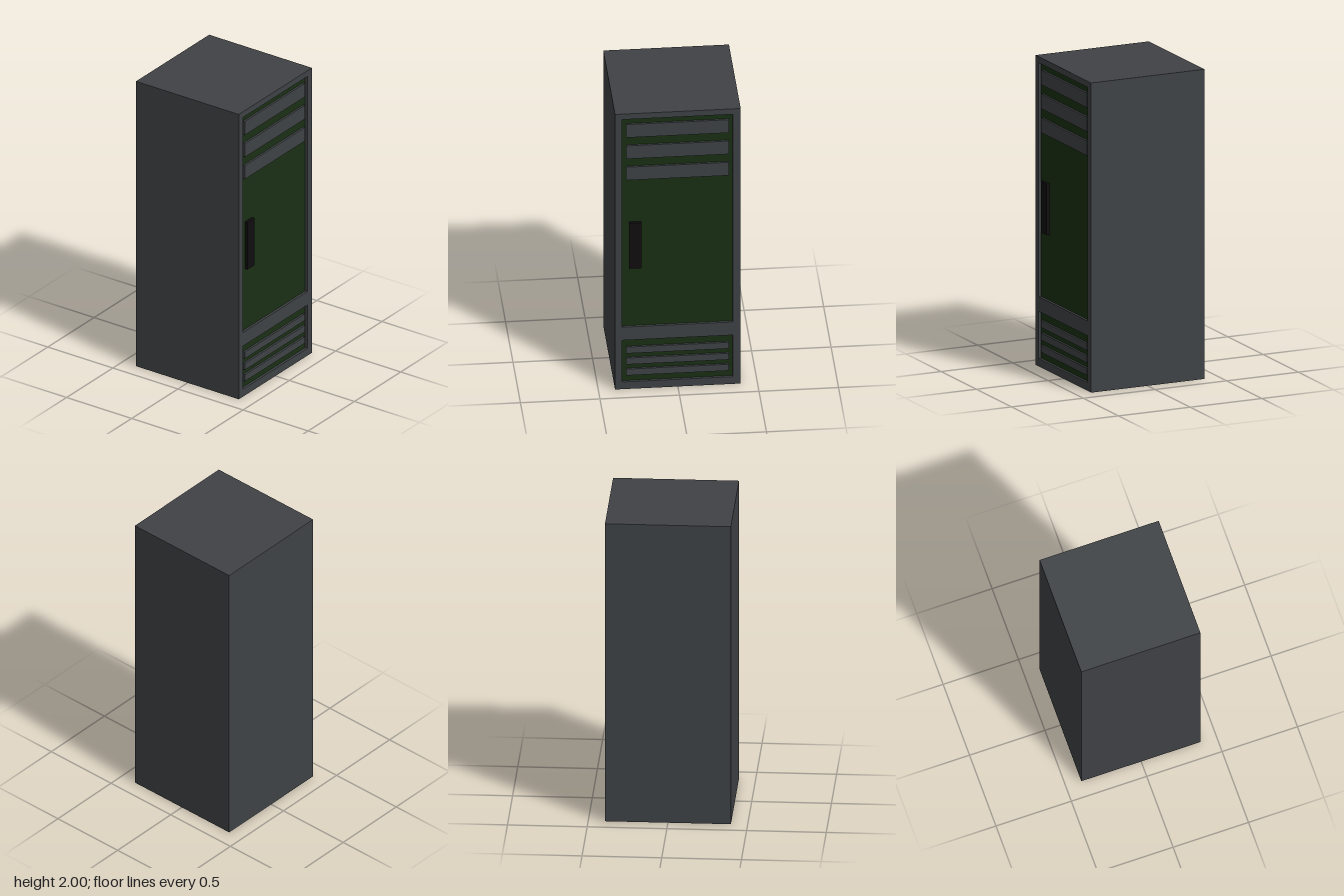
import * as THREE from 'three';

const BACK = -0.397, FRONT = 0.393, RECESS = 0.376, SLAT_FRONT = 0.39;
const HALF_W = 0.395, HEIGHT = 2;

// Recessed openings in the front frame and the slats set in each
const openings = [
  { name: 'door', y0: 0.45, y1: 1.96, slatH: 0.095, slats: [1.873, 1.718, 1.563] },
  { name: 'lowerVent', y0: 0.052, y1: 0.355, slatH: 0.046, slats: [0.279, 0.199, 0.119] },
];
const OPEN_X0 = -0.35, OPEN_X1 = 0.345;

export function createModel() {
  const group = new THREE.Group();
  group.name = 'locker';
  const grey = new THREE.MeshStandardMaterial({ color: 0x3f4245 });
  const green = new THREE.MeshStandardMaterial({ color: 0x1a3014 });
  const black = new THREE.MeshStandardMaterial({ color: 0x100d0f });

  // Adds a box given by its extents
  function box(name, material, x0, x1, y0, y1, z0, z1) {
    const mesh = new THREE.Mesh(new THREE.BoxGeometry(x1 - x0, y1 - y0, z1 - z0), material);
    mesh.position.set((x0 + x1) / 2, (y0 + y1) / 2, (z0 + z1) / 2);
    mesh.name = name;
    group.add(mesh);
  }

  function rectangle(path, x0, x1, y0, y1) {
    path.moveTo(x0, y0);
    path.lineTo(x1, y0);
    path.lineTo(x1, y1);
    path.lineTo(x0, y1);
    path.closePath();
    return path;
  }

  // Cabinet body up to just behind the recessed panels
  const bodyFront = RECESS - 0.005;
  box('body', grey, -HALF_W, HALF_W, 0, HEIGHT, BACK, bodyFront);

  // Front frame with one hole per opening
  const outline = rectangle(new THREE.Shape(), -HALF_W, HALF_W, 0, HEIGHT);
  for (const o of openings) {
    outline.holes.push(rectangle(new THREE.Path(), OPEN_X0, OPEN_X1, o.y0, o.y1));
  }
  const frame = new THREE.Mesh(
    new THREE.ExtrudeGeometry(outline, { depth: FRONT - bodyFront, bevelEnabled: false }), grey);
  frame.position.z = bodyFront;
  frame.name = 'frontFrame';
  group.add(frame);

  // Green panels and their horizontal slats
  for (const o of openings) {
    box(o.name + 'Panel', green, OPEN_X0, OPEN_X1, o.y0, o.y1, bodyFront, RECESS);
    o.slats.forEach((y, i) => {
      box(o.name + 'Slat' + (i + 1), grey, -0.325, 0.322,
        y - o.slatH / 2, y + o.slatH / 2, RECESS, SLAT_FRONT);
    });
  }

  // Door handle, slightly proud of the frame
  box('handle', black, -0.307, -0.23, 0.875, 1.205, RECESS, 0.397);

  return group;
}
